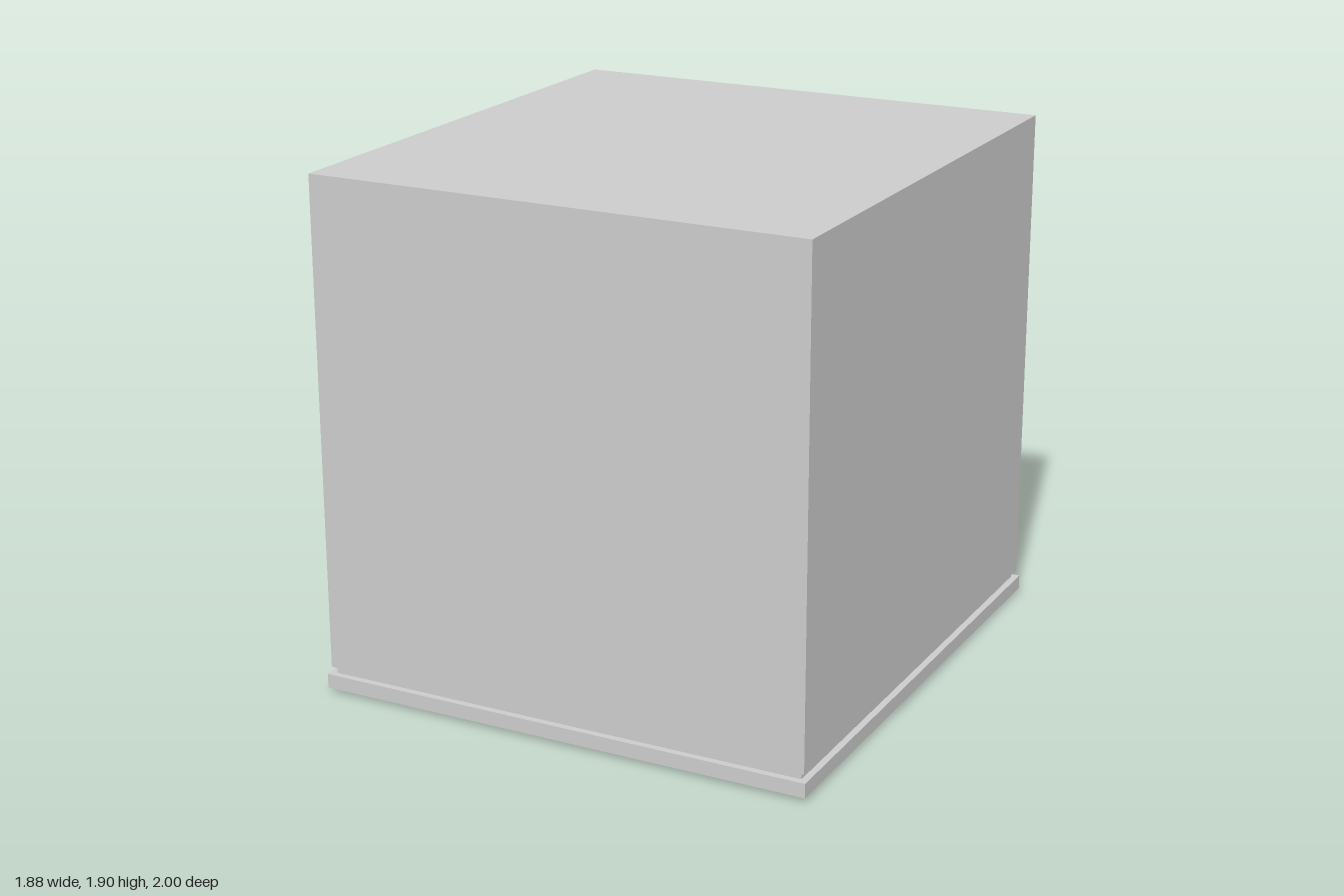
import * as THREE from 'three';

const HOLE_R = 0.33;
const RIM_Y = 0.003;
const PLATE_Y = 0.017;

export function createModel() {
  const group = new THREE.Group();
  const material = new THREE.MeshStandardMaterial({ color: 0xcccccc });
  const twoSided = new THREE.MeshStandardMaterial({ color: 0xcccccc, side: THREE.DoubleSide });

  const add = (name, geometry, mat = material) => {
    const mesh = new THREE.Mesh(geometry, mat);
    mesh.name = name;
    group.add(mesh);
    return mesh;
  };

  // Rectangle with the round light opening cut out
  const holedRect = (w, d) => {
    const shape = new THREE.Shape([
      new THREE.Vector2(-w / 2, -d / 2), new THREE.Vector2(w / 2, -d / 2),
      new THREE.Vector2(w / 2, d / 2), new THREE.Vector2(-w / 2, d / 2),
    ]);
    shape.holes.push(new THREE.Path().absarc(0, 0, HOLE_R, 0, Math.PI * 2, true));
    return shape;
  };

  const slab = (w, d, y0, y1) =>
    new THREE.ExtrudeGeometry(holedRect(w, d), { depth: y1 - y0, bevelEnabled: false, curveSegments: 48 })
      .rotateX(-Math.PI / 2).translate(0, y0, 0);

  // Housing: a box whose underside is replaced by a holed panel
  const box = new THREE.BoxGeometry(1.86, 1.81, 1.975);
  box.setIndex(Array.from(box.index.array).filter((_, i) => i < 18 || i >= 24));
  box.clearGroups();
  add('housing', box).position.y = 1.0;
  add('housingUnderside', new THREE.ShapeGeometry(holedRect(1.86, 1.975), 48)
    .rotateX(Math.PI / 2).translate(0, 0.095, 0));

  // Recessed neck and trim plate
  add('neck', slab(1.83, 1.95, 0.07, 0.095));
  add('trimPlate', slab(1.88, 2, PLATE_Y, 0.07));

  // Slightly dished plate face, from the round rim out to the square edge
  const perSide = 24;
  const corners = [[-0.94, -1], [0.94, -1], [0.94, 1], [-0.94, 1]];
  const positions = [];
  const indices = [];
  corners.forEach(([x0, z0], s) => {
    const [x1, z1] = corners[(s + 1) % 4];
    for (let i = 0; i < perSide; i++) {
      const t = i / perSide;
      const x = x0 + (x1 - x0) * t;
      const z = z0 + (z1 - z0) * t;
      const r = Math.hypot(x, z);
      positions.push((x / r) * HOLE_R, RIM_Y, (z / r) * HOLE_R, x, PLATE_Y, z);
    }
  });
  const count = perSide * 4;
  for (let i = 0; i < count; i++) {
    const a = 2 * i;
    const b = 2 * ((i + 1) % count);
    indices.push(a, a + 1, b + 1, a, b + 1, b);
  }
  const face = new THREE.BufferGeometry();
  face.setAttribute('position', new THREE.Float32BufferAttribute(positions, 3));
  face.setIndex(indices);
  face.computeVertexNormals();
  add('plateFace', face, twoSided);

  // Opening: rolled lip, straight collar, tapered reflector and its end
  const turned = (points) =>
    new THREE.LatheGeometry(points.map(([r, y]) => new THREE.Vector2(r, y)), 64);
  add('openingLip', turned([[0.345, 0.004], [0.335, 0], [0.325, 0], [0.32, 0.012]]), twoSided);
  add('openingCollar', turned([[0.32, 0.012], [0.32, 0.18]]), twoSided);
  add('reflector', turned([[0.32, 0.18], [0.27, 0.6]]), twoSided);
  add('reflectorEnd', new THREE.CircleGeometry(0.27, 64).rotateX(Math.PI / 2).translate(0, 0.6, 0), twoSided);

  return group;
}
